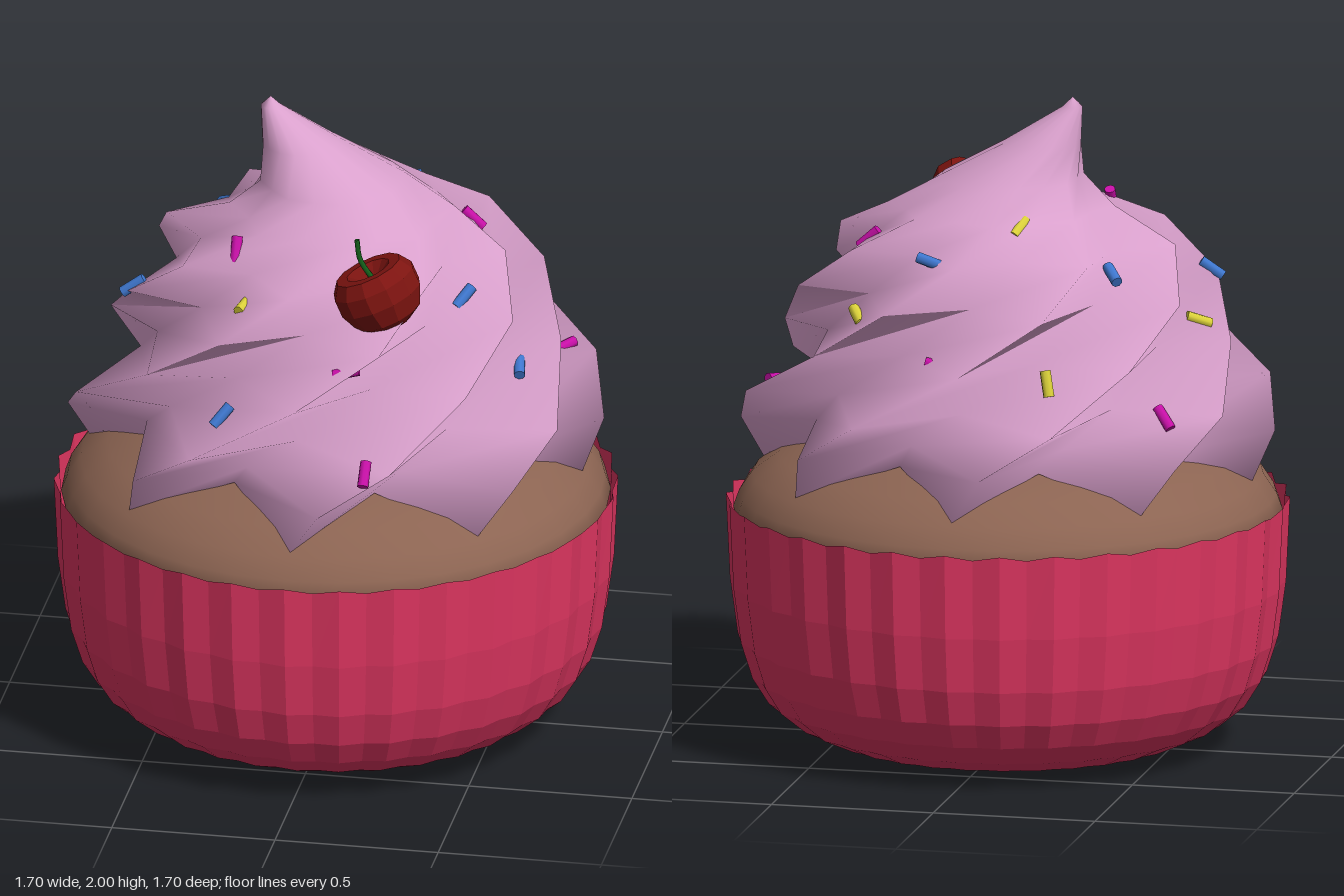
import * as THREE from 'three';

const mat = (color, flatShading = false) =>
  new THREE.MeshStandardMaterial({ color, flatShading, side: THREE.DoubleSide });

function addMesh(parent, name, geometry, material) {
  const mesh = new THREE.Mesh(geometry, material);
  mesh.name = name;
  parent.add(mesh);
  return mesh;
}

// Skin over closed rings of points; point(i, j) gives column j of ring i
function loft(rows, cols, point) {
  const pos = [], index = [];
  for (let i = 0; i < rows; i++)
    for (let j = 0; j < cols; j++) pos.push(...point(i, j));
  for (let i = 0; i < rows - 1; i++)
    for (let j = 0; j < cols; j++) {
      const a = i * cols + j, b = i * cols + (j + 1) % cols;
      index.push(a, b, b + cols, a, b + cols, a + cols);
    }
  const geo = new THREE.BufferGeometry();
  geo.setAttribute('position', new THREE.Float32BufferAttribute(pos, 3));
  geo.setIndex(index);
  geo.computeVertexNormals();
  return geo;
}

const lathe = (pts, n) => new THREE.LatheGeometry(pts.map(p => new THREE.Vector2(...p)), n);

// Pleated paper cup: every second column is pulled slightly inward
function cupGeometry() {
  const profile = [[0, 0], [0.35, 0.012], [0.55, 0.03], [0.65, 0.075], [0.73, 0.14],
    [0.78, 0.22], [0.815, 0.33], [0.838, 0.5], [0.85, 0.76]];
  const pleats = 32;
  return loft(profile.length, pleats * 2, (i, j) => {
    const a = j * Math.PI / pleats, inner = j % 2;
    const r = profile[i][0] * (inner ? 0.982 : 1);
    const y = profile[i][1] - (inner && i === profile.length - 1 ? 0.015 : 0);
    return [r * Math.sin(a), y, r * Math.cos(a)];
  });
}

// Frosting: eight-lobed star, twisting as it rises to a leaning tip
function frostingGeometry() {
  // ridge height, ridge radius, valley height, valley radius, twist in degrees, x shift
  const rings = [
    [0.84, 0.755, 0.95, 0.56, 0, 0],
    [0.98, 0.81, 1.03, 0.6, 6.5, 0],
    [1.11, 0.80, 1.14, 0.6, 22, 0],
    [1.27, 0.69, 1.29, 0.55, 45, 0],
    [1.43, 0.64, 1.44, 0.49, 67, 0],
    [1.57, 0.53, 1.57, 0.41, 85, 0],
    [1.66, 0.34, 1.66, 0.3, 98, 0.02],
    [1.75, 0.22, 1.75, 0.21, 108, -0.01],
    [1.86, 0.115, 1.86, 0.115, 115, -0.11],
    [1.97, 0.03, 1.97, 0.03, 118, -0.2],
    [2.0, 0, 2.0, 0, 118, -0.2],
  ];
  return loft(rings.length, 16, (i, j) => {
    const [ry, rr, vy, vr, twist, dx] = rings[i];
    const a = THREE.MathUtils.degToRad(twist + j * 22.5);
    const r = j % 2 ? vr : rr;
    return [dx + r * Math.sin(a), j % 2 ? vy : ry, r * Math.cos(a)];
  });
}

// Sprinkles: x, y, z, then direction
const SPRINKLES = [
  ['pink', 0xc810a8, [
    [-0.25, 1.62, 0.3, 0, 1, -0.6], [0.14, 1.37, 0.585, 1, 0.25, -0.1],
    [0.225, 1.11, 0.74, 0, 1, -0.9], [0.39, 1.57, -0.17, 1, -0.9, 0],
    [0.655, 1.14, -0.24, 0.6, 0.1, -0.8], [0.085, 1.28, -0.565, 1, 0.2, 0],
    [-0.57, 1.11, -0.38, 0.5, 0.6, 0.3]]],
  ['blue', 0x3f78d0, [
    [-0.58, 1.44, 0.22, 1, 0.7, -0.15], [-0.24, 1.2, 0.59, 0.5, 0.6, -0.4],
    [0.435, 1.49, 0.23, 0.5, 0.6, -0.6], [0.59, 1.24, 0.15, 0.2, -0.4, 1],
    [0.14, 1.57, -0.44, 1, 0.3, 0.1], [-0.385, 1.52, -0.27, 0.5, 0.4, 0.7]]],
  ['yellow', 0xdcd23a, [
    [-0.2, 1.5, 0.43, 0.3, 0.2, -1], [0.35, 1.25, 0.49, 1, 0, 0],
    [-0.1, 1.65, -0.28, -0.3, 0.5, 0.9], [0.375, 1.38, -0.39, 0.6, 0.5, 1],
    [-0.59, 1.33, 0, 1, 0.4, -0.5], [-0.25, 1.24, -0.56, 0.2, 1, 0.2]]],
];

function addSprinkles(parent) {
  const sprinkles = new THREE.Group();
  sprinkles.name = 'sprinkles';
  parent.add(sprinkles);
  const geo = new THREE.CylinderGeometry(0.017, 0.017, 0.08, 8);
  const up = new THREE.Vector3(0, 1, 0);
  for (const [name, color, list] of SPRINKLES) {
    const material = mat(color);
    for (const [x, y, z, dx, dy, dz] of list) {
      const m = addMesh(sprinkles, name + 'Sprinkle', geo, material);
      m.position.set(x, y, z);
      m.quaternion.setFromUnitVectors(up, new THREE.Vector3(dx, dy, dz).normalize());
    }
  }
}

// Cherry with a dimpled top and a curved stem
function addCherry(parent) {
  const cherry = new THREE.Group();
  cherry.name = 'cherry';
  parent.add(cherry);
  const fruit = addMesh(cherry, 'cherryFruit', lathe([
    [0, -0.1], [0.06, -0.1], [0.105, -0.07], [0.132, -0.01], [0.132, 0.045],
    [0.105, 0.085], [0.07, 0.085], [0.02, 0.05], [0, 0.045]], 12), mat(0x7d1410, true));
  fruit.position.set(0.213, 1.567, 0.43);
  fruit.rotation.z = 0.42;
  const curve = new THREE.CatmullRomCurve3([
    new THREE.Vector3(0.195, 1.6, 0.41), new THREE.Vector3(0.15, 1.665, 0.405),
    new THREE.Vector3(0.14, 1.73, 0.405)]);
  addMesh(cherry, 'cherryStem', new THREE.TubeGeometry(curve, 8, 0.008, 6), mat(0x14601a));
}

export function createModel() {
  const model = new THREE.Group();
  model.name = 'cupcake';
  addMesh(model, 'paperCup', cupGeometry(), mat(0xdd3560, true));
  // Cake dome rising out of the cup
  addMesh(model, 'cake', lathe([[0.8, 0.6], [0.828, 0.72], [0.81, 0.77], [0.77, 0.83],
    [0.69, 0.89], [0.57, 0.94], [0.4, 0.98], [0, 1.01]], 32), mat(0x8c6452));
  addMesh(model, 'frosting', frostingGeometry(), mat(0xd9a0cc));
  addSprinkles(model);
  addCherry(model);
  return model;
}
